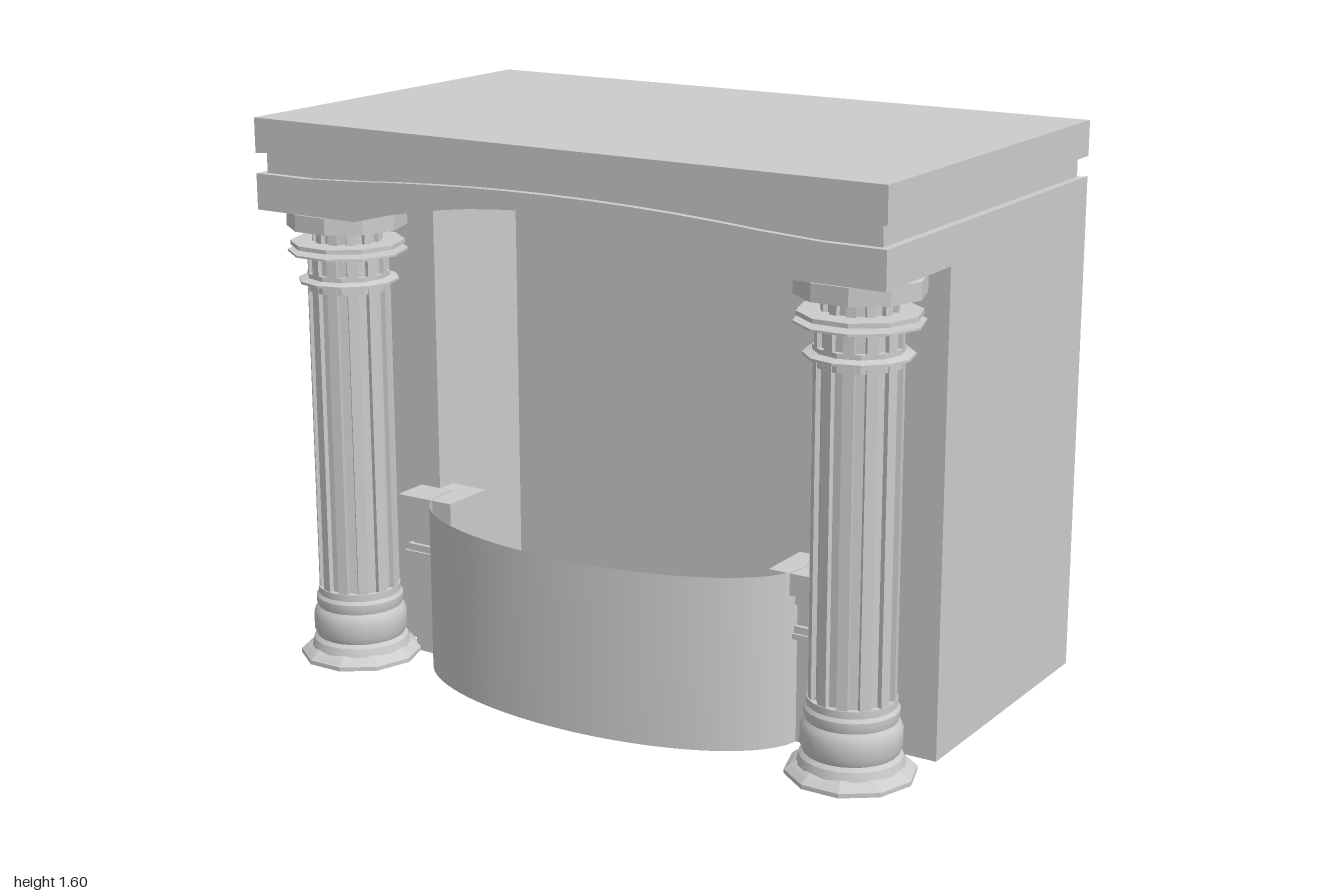
import * as THREE from 'three';
import { toCreasedNormals } from 'three/addons/utils/BufferGeometryUtils.js';

const W = 0.9915;   // half width of the body
const J = 0.645;    // half width of the recess
const FRONT = 0.6, FACE = 0.25, BACK = -0.15, REAR = -0.6;
const SPRING = 1.34; // underside of the lintel

const sheet = new THREE.MeshStandardMaterial({ color: 0xcccccc, flatShading: true, side: THREE.DoubleSide });
const solid = new THREE.MeshStandardMaterial({ color: 0xcccccc, side: THREE.DoubleSide });

function add(parent, name, geometry, material = solid) {
  const mesh = new THREE.Mesh(geometry, material);
  mesh.name = name;
  parent.add(mesh);
  return mesh;
}

// Surface through a list of point rows of equal length
function loft(rows) {
  const n = rows[0].length, index = [];
  for (let r = 0; r < rows.length - 1; r++) {
    for (let c = 0; c < n - 1; c++) {
      const a = r * n + c, b = a + n;
      index.push(a, b, a + 1, b, b + 1, a + 1);
    }
  }
  const g = new THREE.BufferGeometry();
  g.setAttribute('position', new THREE.Float32BufferAttribute(rows.flat(2), 3));
  g.setIndex(index);
  const flat = g.toNonIndexed();
  flat.computeVertexNormals();
  return flat;
}

const rise = (x, half) => Math.max(0, 1 - (x / half) ** 2);
const archY = (x) => SPRING + 0.09 * rise(x, J);
const lowerY = (x) => 1.443 + 0.034 * rise(x, 0.75);
const upperY = (x) => 1.5 + 0.045 * rise(x, W);

const archX = [];
for (let i = 0; i <= 10; i++) archX.push(-J + (2 * J * i) / 10);

function createBody() {
  const body = new THREE.Group();
  body.name = 'body';
  body.position.x = -0.0065;

  // Lintel and cornice: moulded band round three sides, curved at the front
  const path = [[-W, REAR], [-W, FRONT], ...[-0.82, ...archX, 0.82].map((x) => [x, FRONT]), [W, FRONT], [W, REAR]];
  const profile = [[() => 1.6, 0], [upperY, 0], [upperY, 0.022], [lowerY, 0.022], [lowerY, 0], [archY, 0]];
  add(body, 'corniceBand', loft(profile.map(([y, inset]) =>
    path.map(([x, z]) => [x * (W - inset) / W, y(x), Math.sign(z) * (FRONT - inset)]))), sheet);
  add(body, 'topSlab', loft([REAR, FRONT].map((z) => [[-W, 1.6, z], [W, 1.6, z]])), sheet);

  // Arched ceiling of the recess and its back panel
  add(body, 'archSoffit', loft([FRONT, BACK].map((z) => archX.map((x) => [x, archY(x), z]))), sheet);
  add(body, 'backPanel', loft([
    archX.map((x) => [x, 0, BACK]),
    archX.map((x) => [x, archY(x), BACK]),
  ]), sheet);

  // Side wall, front return, jamb and lintel underside on each side
  for (const s of [-1, 1]) {
    const plan = [[W, REAR], [W, FACE], [J, FACE], [J, BACK]];
    add(body, 'sideWall', loft([0, SPRING].map((y) => plan.map(([x, z]) => [s * x, y, z]))), sheet);
    add(body, 'lintelUnderside', loft([FACE, FRONT].map((z) => [[s * J, SPRING, z], [s * W, SPRING, z]])), sheet);
  }
  return body;
}

// Curved hearth front with its floor
function createHearth() {
  const hearth = new THREE.Group();
  hearth.name = 'hearth';
  const curve = [[-0.605, FACE]];
  for (let i = 0; i <= 32; i++) {
    const a = Math.PI * (1 - i / 32);
    curve.push([0.605 * Math.cos(a), 0.31 + 0.29 * Math.sin(a)]);
  }
  curve.push([0.605, FACE]);
  const wall = loft([0, 0.49].map((y) => curve.map(([x, z]) => [x, y, z])));
  add(hearth, 'hearthFront', toCreasedNormals(wall, 0.6));

  const outline = [[-J, BACK], [-J, FACE], ...curve, [J, FACE], [J, BACK]];
  const floor = new THREE.ShapeGeometry(new THREE.Shape(outline.map(([x, z]) => new THREE.Vector2(x, z))));
  floor.rotateX(Math.PI / 2);
  floor.translate(0, 0.002, 0);
  add(hearth, 'hearthFloor', floor, sheet);
  return hearth;
}

// Small capped post between hearth front and column
function createPost() {
  const post = new THREE.Group();
  post.name = 'hearthPost';
  // name, width, depth, bottom, top
  const blocks = [
    ['postShaft', 0.13, 0.11, 0, 0.43],
    ['postBand', 0.17, 0.15, 0.3, 0.315],
    ['postBand', 0.155, 0.135, 0.315, 0.335],
    ['postNeck', 0.15, 0.13, 0.395, 0.425],
    ['postCap', 0.19, 0.17, 0.425, 0.487],
  ];
  for (const [name, w, d, y0, y1] of blocks) {
    add(post, name, new THREE.BoxGeometry(w, y1 - y0, d), sheet).position.y = (y0 + y1) / 2;
  }
  return post;
}

// Upright prism with raised strips separated by flutes
function fluted(rOut, rIn, y0, y1, count = 12) {
  const points = [];
  for (let i = 0; i < count; i++) {
    for (const [f, r] of [[-0.28, rIn], [-0.24, rOut], [0.24, rOut], [0.28, rIn]]) {
      const a = ((i + 0.5 + f) / count) * Math.PI * 2;
      points.push(new THREE.Vector2(r * Math.cos(a), r * Math.sin(a)));
    }
  }
  const g = new THREE.ExtrudeGeometry(new THREE.Shape(points), { depth: y1 - y0, bevelEnabled: false });
  g.rotateX(-Math.PI / 2);
  g.translate(0, y0, 0);
  return g;
}

function createColumn() {
  const column = new THREE.Group();
  column.name = 'column';
  const turned = (name, pts, sides, crease) => add(column, name,
    toCreasedNormals(new THREE.LatheGeometry(pts.map(([r, y]) => new THREE.Vector2(r, y)), sides), crease));

  // Base: faceted foot, then turned mouldings
  turned('columnFoot', [[0, 0], [0.177, 0], [0.177, 0.012], [0.16, 0.026], [0.145, 0.035], [0, 0.035]], 10, 0.1);
  turned('columnBase', [[0.145, 0.03], [0.138, 0.055], [0.128, 0.065], [0.136, 0.085], [0.136, 0.13], [0.13, 0.145],
    [0.123, 0.155], [0.127, 0.17], [0.127, 0.185], [0.12, 0.195], [0.12, 0.215], [0.1, 0.215]], 24, 0.5);

  // Shaft and panelled neck
  add(column, 'columnShaft', fluted(0.117, 0.104, 0.21, 1.13), sheet);
  turned('shaftTopBand', [[0.1, 1.105], [0.118, 1.105], [0.118, 1.125], [0.143, 1.128], [0.143, 1.135], [0.118, 1.142],
    [0.118, 1.155], [0.1, 1.155]], 12, 0.1);
  add(column, 'columnNeck', fluted(0.115, 0.103, 1.15, 1.215), sheet);
  turned('neckBand', [[0.1, 1.2], [0.117, 1.2], [0.117, 1.215]], 12, 0.1);

  // Capital: two thin collars, a panelled drum and the top block
  turned('lowerCollar', [[0, 1.213], [0.17, 1.213], [0.17, 1.219], [0, 1.222]], 10, 0.1);
  turned('upperCollar', [[0.1, 1.219], [0.1, 1.232], [0.162, 1.232], [0.162, 1.244], [0, 1.246]], 10, 0.1);
  add(column, 'capitalDrum', fluted(0.1, 0.088, 1.244, 1.288), sheet);
  turned('drumBand', [[0.085, 1.275], [0.103, 1.275], [0.103, 1.288]], 12, 0.1);
  turned('capitalBlock', [[0, 1.287], [0.17, 1.287], [0.17, 1.335], [0.15, SPRING], [0, SPRING]], 10, 0.1);
  return column;
}

export function createModel() {
  const model = new THREE.Group();
  model.name = 'fireplace';
  model.add(createBody(), createHearth());
  for (const s of [-1, 1]) {
    const column = createColumn();
    column.rotation.y = s * Math.PI / 2;
    column.position.set(s * 0.823, 0, 0.425);
    const post = createPost();
    post.position.set(s * 0.625, 0, 0.275);
    model.add(column, post);
  }
  return model;
}
